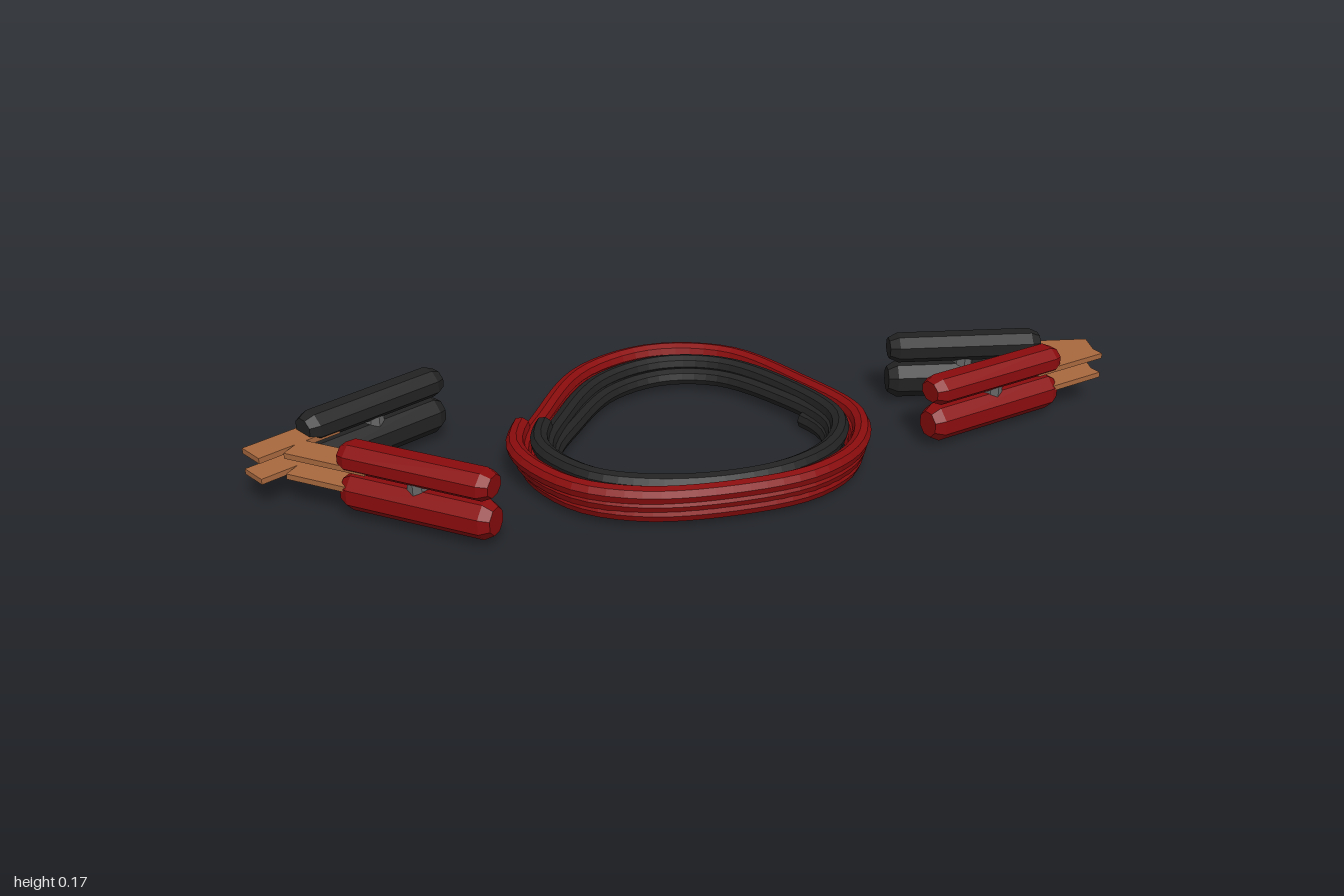
import * as THREE from 'three';

const mat = (name, color) => {
  const m = new THREE.MeshStandardMaterial({ color, flatShading: true });
  m.name = name;
  return m;
};

const TURNS = 2.59, START = 0.21, RADIUS = 0.021;

// Coil path: a closed outline followed for several turns, rising and spreading at the back
class CoilCurve extends THREE.Curve {
  constructor(points) {
    super();
    this.loop = new THREE.CatmullRomCurve3(
      points.map(([x, z]) => new THREE.Vector3(x, 0, z)), true);
  }
  getPoint(p, target = new THREE.Vector3()) {
    const t = (START + p * TURNS) % 1;
    const back = 1 + Math.cos(t * Math.PI * 2);
    const spread = 0.016 * Math.pow(back, 1.5) * (p - 0.5) * 2;
    const c = this.loop.getPoint(t);
    const r = Math.hypot(c.x, c.z);
    const y = 0.0215 + 0.053 * p - 0.003 * back * p * (1 - p) * 2;
    return target.set(c.x * (1 + spread / r), y, c.z * (1 + spread / r));
  }
}

function makeCable(name, points, material) {
  const group = new THREE.Group();
  group.name = name;
  const curve = new CoilCurve(points);
  const tube = new THREE.Mesh(new THREE.TubeGeometry(curve, 160, RADIUS, 8, false), material);
  tube.name = name + 'Coil';
  group.add(tube);
  // Flat cut ends
  for (const [p, dir] of [[0, -1], [1, 1]]) {
    const cap = new THREE.Mesh(new THREE.CircleGeometry(RADIUS, 8), material);
    cap.name = name + 'End';
    cap.position.copy(curve.getPoint(p));
    cap.quaternion.setFromUnitVectors(
      new THREE.Vector3(0, 0, 1), curve.getTangent(p).multiplyScalar(dir));
    group.add(cap);
  }
  return group;
}

// Eight-sided grip with chamfered ends, lying along +x
function gripGeometry(length, height) {
  const r = 0.039 / Math.cos(Math.PI / 8);
  const profile = [[0, 0], [r * 0.7, 0], [r, 0.022], [r, length - 0.022], [r * 0.7, length], [0, length]]
    .map(([x, y]) => new THREE.Vector2(x, y));
  return new THREE.LatheGeometry(profile, 8)
    .rotateY(Math.PI / 8)
    .rotateZ(-Math.PI / 2)
    .scale(1, height / 0.078, 1);
}

// Clamp from the rear of its grips (tail) to their front ends
function makeClamp(name, tail, front, gripMat, jawMat, springMat) {
  const group = new THREE.Group();
  group.name = name;
  const dx = front[0] - tail[0], dz = front[1] - tail[1];
  const length = Math.hypot(dx, dz);
  const add = (part, geo, m, x, y) => {
    const mesh = new THREE.Mesh(geo, m);
    mesh.name = part;
    mesh.position.set(x, y, 0);
    group.add(mesh);
  };
  add('lowerGrip', gripGeometry(length, 0.082), gripMat, 0, 0.059);
  add('upperGrip', gripGeometry(length, 0.064), gripMat, 0, 0.141);
  for (const [part, y] of [['lowerJaw', 0.074], ['upperJaw', 0.124]]) {
    add(part, new THREE.BoxGeometry(0.2, 0.013, 0.066), jawMat, length + 0.03, y);
  }
  add('spring', new THREE.CylinderGeometry(0.025, 0.025, 0.06, 8), springMat, length / 2, 0.105);
  group.position.set(tail[0], 0, tail[1]);
  group.rotation.y = Math.atan2(-dz, dx);
  return group;
}

export function createModel() {
  const red = mat('red rubber', 0x8a0c0d);
  const black = mat('black rubber', 0x222222);
  const copper = mat('copper', 0xa8683e);
  const grey = mat('grey steel', 0x666666);
  const model = new THREE.Group();
  model.name = 'jumperCables';

  // Coiled cables, red outside and black inside
  model.add(makeCable('redCable', [
    [0, -0.36], [0.17, -0.295], [0.285, -0.1], [0.36, 0.1], [0.305, 0.255], [0.18, 0.345],
    [0, 0.37], [-0.2, 0.345], [-0.335, 0.26], [-0.405, 0.08], [-0.32, -0.1], [-0.18, -0.295],
  ], red));
  model.add(makeCable('blackCable', [
    [0, -0.285], [0.14, -0.235], [0.25, -0.08], [0.312, 0.1], [0.26, 0.225], [0.15, 0.3],
    [0, 0.325], [-0.165, 0.3], [-0.285, 0.23], [-0.35, 0.08], [-0.275, -0.08], [-0.15, -0.235],
  ], black));

  // Clamps, one red and one black at each side
  model.add(makeClamp('rightBlackClamp', [-0.555, -0.185], [-0.866, -0.012], black, copper, grey));
  model.add(makeClamp('rightRedClamp', [-0.51, 0.35], [-0.79, 0.125], red, copper, grey));
  model.add(makeClamp('leftBlackClamp', [0.51, -0.065], [0.868, 0.003], black, copper, grey));
  model.add(makeClamp('leftRedClamp', [0.51, 0.185], [0.865, 0.085], red, copper, grey));
  return model;
}
